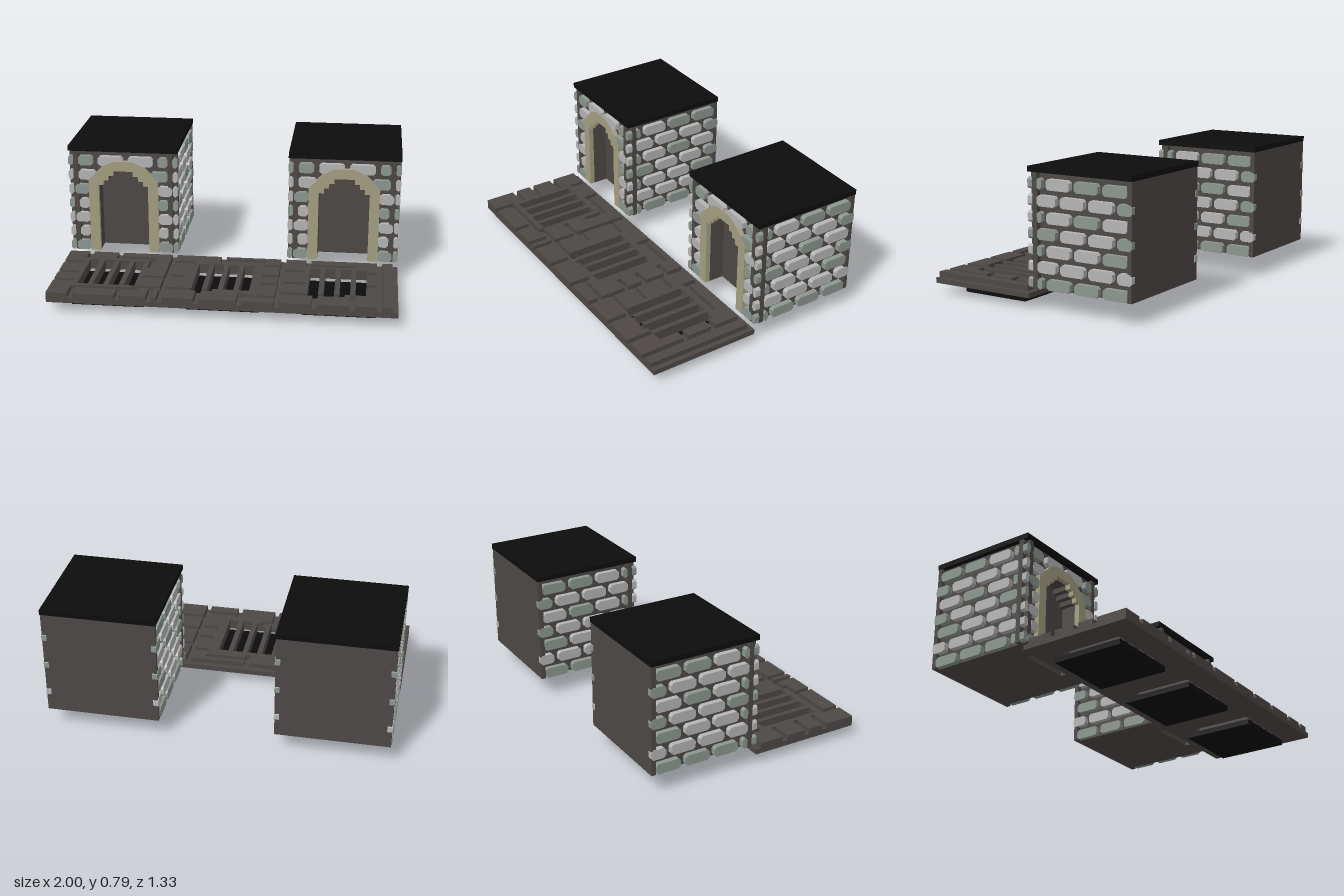
import * as THREE from 'three';
import { mergeGeometries } from 'three/addons/utils/BufferGeometryUtils.js';

// Everything is laid out in small cells; 33 cells = 1 unit.
const CELL = 1 / 33;

const mat = (name, color) => {
  const m = new THREE.MeshStandardMaterial({ color });
  m.name = name;
  return m;
};

function box(x0, x1, y0, y1, z0, z1) {
  return new THREE.BoxGeometry(x1 - x0, y1 - y0, z1 - z0)
    .translate((x0 + x1) / 2, (y0 + y1) / 2, (z0 + z1) / 2).toNonIndexed();
}

function extrude(points, depth) {
  const shape = new THREE.Shape(points.map(([x, y]) => new THREE.Vector2(x, y)));
  return new THREE.ExtrudeGeometry(shape, { depth, bevelEnabled: false });
}

// Brick face with clipped corners
function brick(a0, a1, y0, y1, depth = 1) {
  const c = Math.min(0.45, (a1 - a0) * 0.35);
  return extrude([[a0 + c, y0], [a1 - c, y0], [a1, y0 + c], [a1, y1 - c],
    [a1 - c, y1], [a0 + c, y1], [a0, y1 - c], [a0, y0 + c]], depth);
}

// Covers the cells that pass the test with as few boxes as possible
function fillCells(w, d, y0, y1, solid) {
  const used = new Set(), out = [];
  const free = (x, z) => x < w && z < d && solid(x, z) && !used.has(z * w + x);
  for (let z = 0; z < d; z++) for (let x = 0; x < w; x++) {
    if (!free(x, z)) continue;
    let x1 = x, z1 = z + 1;
    while (free(x1, z)) x1++;
    const rowFree = (r) => {
      for (let i = x; i < x1; i++) if (!free(i, r)) return false;
      return true;
    };
    while (rowFree(z1)) z1++;
    for (let r = z; r < z1; r++) for (let i = x; i < x1; i++) used.add(r * w + i);
    out.push(box(x - 33, x1 - 33, y0, y1, z, z1));
  }
  return mergeGeometries(out);
}

// One-cell paving grooves: across as [z, x0, x1], along as [x, z0, z1]
const ACROSS = [
  [0, 0, 66], [3, 11, 18], [6, 0, 4], [11, 0, 4], [15, 0, 4], [18, 4, 17], [12, 17, 21], [17, 16, 22],
  [4, 22, 26], [11, 22, 25], [17, 22, 31], [2, 32, 40], [4, 40, 43], [9, 40, 43], [13, 40, 43],
  [19, 37, 43], [6, 44, 48], [12, 44, 48], [3, 49, 58], [17, 44, 56], [6, 58, 62], [12, 58, 62],
];
const ALONG = [
  [21, 0, 22], [43, 0, 22], [62, 0, 22], [65, 0, 22], [4, 1, 4], [10, 1, 4], [17, 3, 8], [4, 19, 22],
  [13, 19, 22], [19, 18, 22], [28, 18, 22], [31, 1, 4], [36, 18, 22], [48, 1, 4], [50, 18, 22], [57, 17, 22],
];
const hits = (list, line, at) => list.some(([l, a, b]) => l === line && at >= a && at < b);
const isGroove = (x, z) => hits(ACROSS, z, x) || hits(ALONG, x, z);

// Four grate slots in every square of paving
const isSlot = (x, z) => {
  const t = (x % 22) - 5;
  return z >= 5 && z < 17 && t >= 0 && t < 11 && t % 3 < 2;
};

// Stepped doorway opening and arch outline, left foot to right foot
const mirrorX = (pts) => [...pts, ...pts.slice().reverse().map(([x, y]) => [22 - x, y])];
const OPENING = mirrorX([[6, 4], [6, 18], [7, 18], [7, 19], [8, 19], [8, 20], [9, 20], [9, 21]]);
const ARCH = mirrorX([[4, 4], [4, 19], [7, 22], [9, 23]]);

// Side brick spans, and the colour of each brick from the bottom row up (s = sage, l = light)
const SPANS = [[[2, 3], [4, 9], [10, 15], [16, 21]], [[2, 6], [7, 12], [13, 18], [19, 22]]];
const SIDE_TINT = ['ssss', 'llll', 'slls', 'slls', 'slsl', 'llls', 'slss'];
const FRONT_TINT = ['ss', 'll', 'll', 'ls', 'sl', 'ls', 'slls'];

export function createModel() {
  const M = {
    stone: mat('dark stone', 0x4d4846),
    light: mat('light grey brick', 0xb5b5b5),
    sage: mat('sage grey brick', 0x8c968f),
    tan: mat('tan arch stone', 0xa49f82),
    black: mat('black', 0x0d0d0d),
  };
  const root = new THREE.Group();
  root.name = 'gatehouses';
  const model = new THREE.Group();
  model.name = 'cellLayout';
  model.scale.setScalar(CELL);
  root.add(model);
  const add = (parent, name, geo, material) => {
    const mesh = new THREE.Mesh(geo, material);
    mesh.name = name;
    parent.add(mesh);
  };

  // Paving with grooves, grate slots and the dark pits below
  add(model, 'pavingBase', fillCells(66, 22, 2, 3, (x, z) => !isSlot(x, z)), M.stone);
  add(model, 'pavingStones', fillCells(66, 22, 3, 4, (x, z) => !isSlot(x, z) && !isGroove(x, z)), M.stone);
  for (let i = 0; i < 3; i++) {
    const x = i * 22 - 33;
    add(model, 'pitPlate', box(x + 4, x + 18, 0, 1, 4, 18), M.black);
  }

  // Shared gatehouse walls: doorway front, solid core, back slab and corner posts
  const wall = extrude([[1, 4], ...OPENING, [21, 4], [21, 25], [1, 25]], 3).translate(0, 0, -4);
  const posts = [1, 20].map((x) => box(x, x + 1, 4, 25, -1, -0.1));
  for (const x of [0.1, 21]) posts.push(box(x, x + 0.9, 4, 25, -2, -1));
  const mortar = mergeGeometries([wall, box(1, 21, 4, 25, -21, -4),
    box(0.1, 21.9, 4, 25, -21.9, -21), ...posts]);
  const arch = extrude([...ARCH, ...OPENING.slice().reverse()], 1).translate(0, 0, -1);

  const bricks = { l: [], s: [] };
  for (let row = 0; row < 7; row++) {
    const y0 = 4 + row * 3, y1 = y0 + 2;
    // Both side walls
    SPANS[row % 2].forEach(([a, b], i) => {
      const list = bricks[SIDE_TINT[row][i]];
      list.push(brick(a, b, y0, y1).rotateY(Math.PI / 2).translate(21, 0, 0));
      list.push(brick(-b, -a, y0, y1).rotateY(-Math.PI / 2).translate(1, 0, 0));
    });
    // Front wall beside and above the arch
    const inner = row % 2 ? 2 : 1.2;
    const spans = row === 6 ? [[2, 5], [6, 11], [12, 17], [18, 20]]
      : row === 5 ? [[2, 5.5], [16.5, 20]] : [[inner, 4], [18, 22 - inner]];
    spans.forEach(([a, b], i) =>
      bricks[FRONT_TINT[row][i]].push(brick(a, b, y0, y1, 0.95).translate(0, 0, -1)));
    // Corner stubs
    for (const x of [0, 21]) {
      bricks[row % 3 ? 'l' : 's'].push(brick(x, x + 1, y0, y1).translate(0, 0, -1));
    }
  }
  const lightBricks = mergeGeometries(bricks.l), sageBricks = mergeGeometries(bricks.s);

  for (const [name, x] of [['rightGatehouse', -33], ['leftGatehouse', 11]]) {
    const house = new THREE.Group();
    house.name = name;
    house.position.x = x;
    add(house, 'mortarWalls', mortar, M.stone);
    add(house, 'doorArch', arch, M.tan);
    add(house, 'lightBricks', lightBricks, M.light);
    add(house, 'sageBricks', sageBricks, M.sage);
    add(house, 'flatRoof', box(0, 22, 25, 26, -22, 0), M.black);
    model.add(house);
  }
  return root;
}
